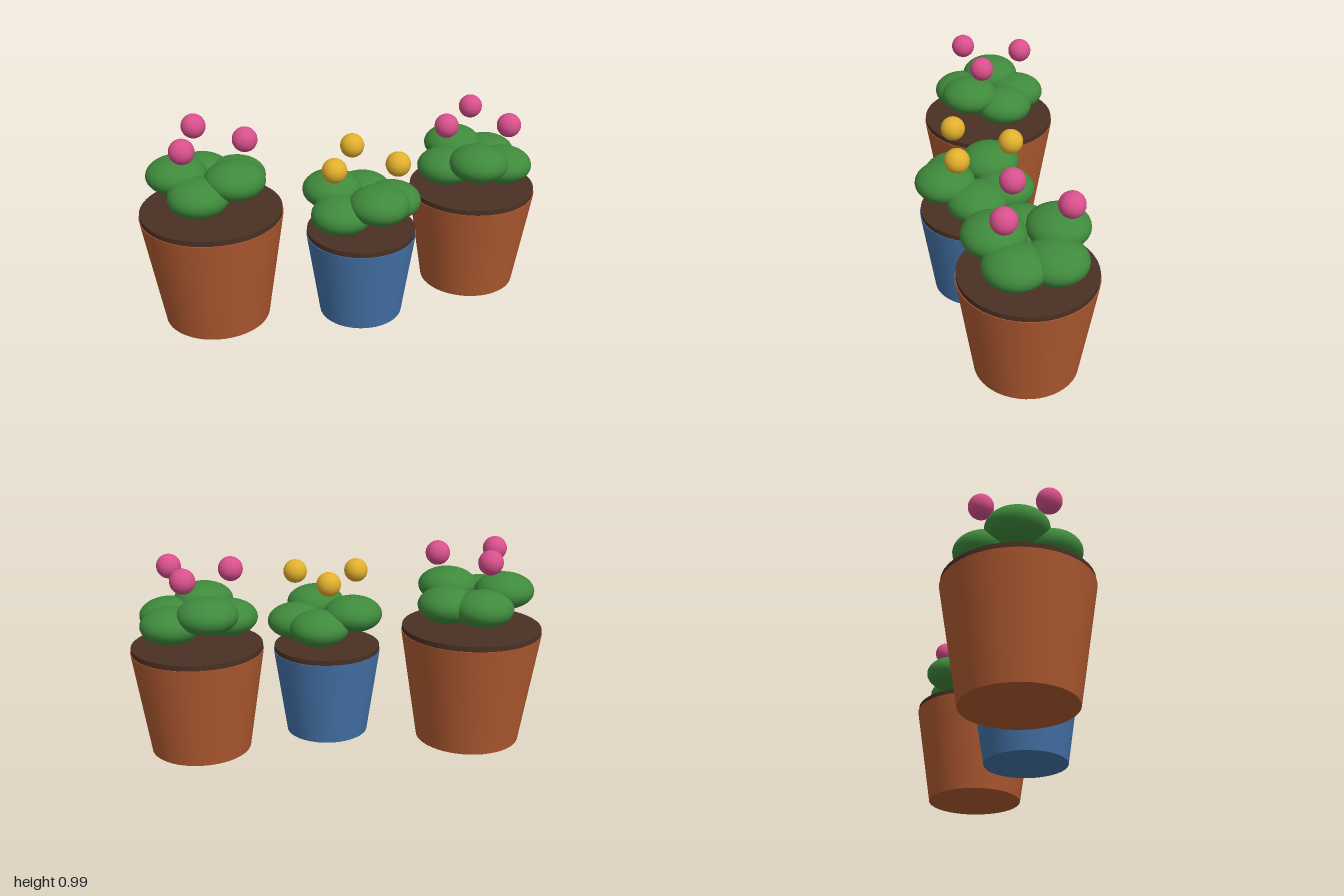
import * as THREE from 'three';

const paint = (color) => new THREE.MeshStandardMaterial({ color });
const TERRACOTTA = paint(0xb05a30), BLUE = paint(0x4472a8), SOIL = paint(0x4a3024);
const GREEN = paint(0x3f8a3c), PINK = paint(0xd8508c), YELLOW = paint(0xe2b02e);

const LEAF = new THREE.SphereGeometry(0.144, 32, 20).scale(1, 0.6, 1);
const BLOOM = new THREE.SphereGeometry(0.059, 24, 16);

function add(parent, name, geometry, material, x, y, z) {
  const mesh = new THREE.Mesh(geometry, material);
  mesh.name = name;
  mesh.position.set(x, y, z);
  parent.add(mesh);
}

// Places count meshes evenly round a circle, starting at an angle in degrees
function ring(parent, name, geometry, material, count, radius, start, heightOf) {
  for (let i = 0; i < count; i++) {
    const a = THREE.MathUtils.degToRad(start + (360 / count) * i);
    add(parent, name + (i + 1), geometry, material, Math.cos(a) * radius, heightOf(i), Math.sin(a) * radius);
  }
}

function pottedPlant({ name, x, z, top, bottom, height, pot, bloom, leafStart, bloomStart }) {
  const plant = new THREE.Group();
  plant.name = name;
  plant.position.set(x, 0, z);

  // Tapered pot with a soil disc standing just above its rim
  add(plant, 'pot', new THREE.CylinderGeometry(top, bottom, height, 48), pot, 0, height / 2, 0);
  add(plant, 'soil', new THREE.CylinderGeometry(top - 0.004, top - 0.004, 0.05, 48), SOIL, 0, height, 0);

  // Five flattened leaf clumps, every third one raised
  ring(plant, 'leafClump', LEAF, GREEN, 5, 0.15, leafStart, (i) => height + (i % 3 === 0 ? 0.206 : 0.152));

  // Three round blossoms floating above the leaves
  ring(plant, 'blossom', BLOOM, bloom, 3, 0.176, bloomStart, () => height + 0.38);
  return plant;
}

export function createModel() {
  const model = new THREE.Group();
  model.name = 'pottedPlants';
  model.add(
    pottedPlant({
      name: 'largePlant', x: -0.655, z: -0.028, top: 0.343, bottom: 0.257, height: 0.555,
      pot: TERRACOTTA, bloom: PINK, leafStart: 189, bloomStart: 16,
    }),
    pottedPlant({
      name: 'smallPlant', x: 0.048, z: 0.106, top: 0.267, bottom: 0.204, height: 0.43,
      pot: BLUE, bloom: YELLOW, leafStart: 215, bloomStart: 30,
    }),
    pottedPlant({
      name: 'mediumPlant', x: 0.68, z: -0.076, top: 0.318, bottom: 0.242, height: 0.504,
      pot: TERRACOTTA, bloom: PINK, leafStart: 245, bloomStart: 43,
    }),
  );
  return model;
}
